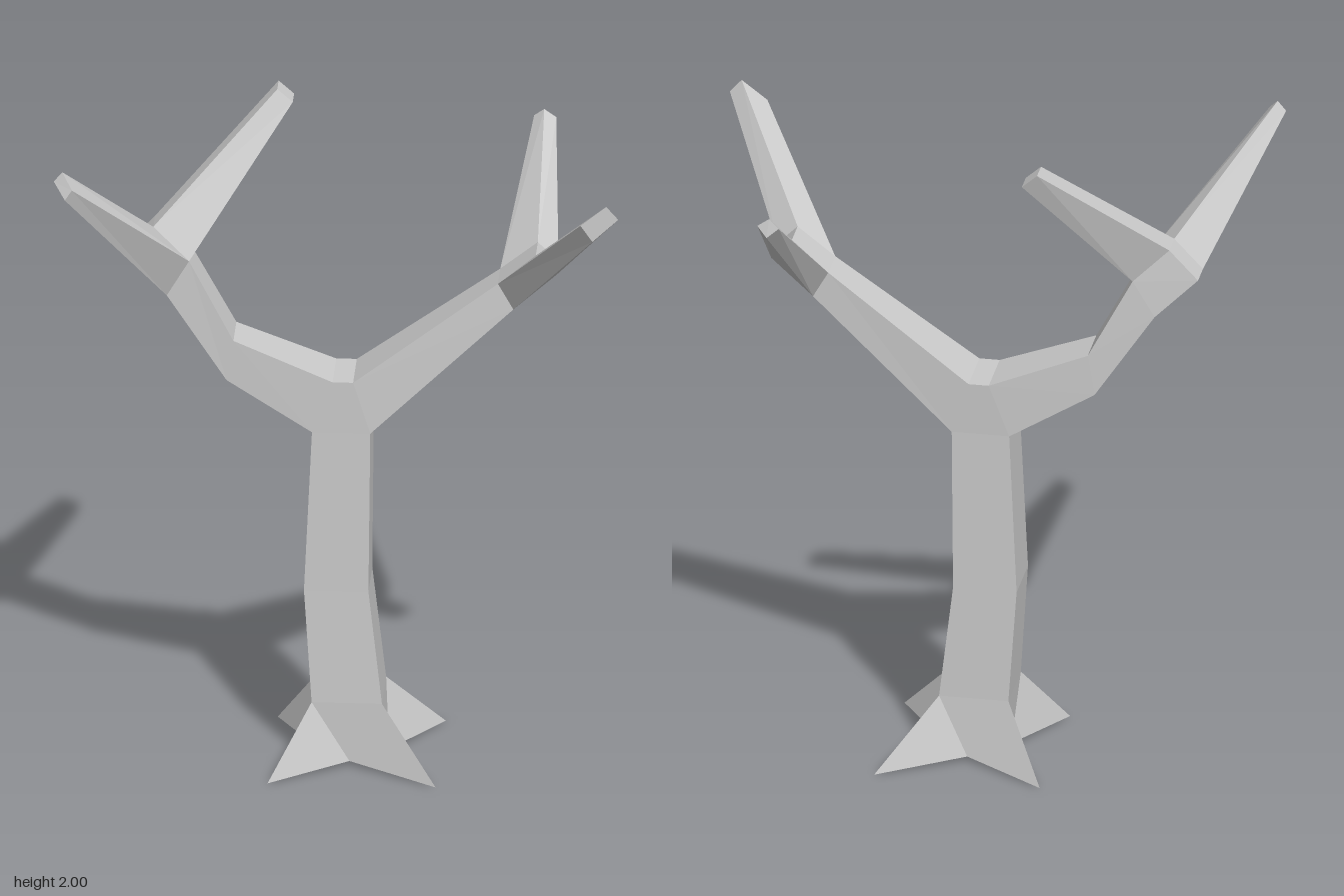
import * as THREE from 'three';

const material = new THREE.MeshStandardMaterial({ color: 0xcccccc, flatShading: true });

// Mesh from a list of polygons, each a counter-clockwise list of [x, y, z]
function faceted(name, polygons) {
  const pos = [];
  for (const p of polygons)
    for (let i = 1; i < p.length - 1; i++) pos.push(...p[0], ...p[i], ...p[i + 1]);
  const geo = new THREE.BufferGeometry();
  geo.setAttribute('position', new THREE.Float32BufferAttribute(pos, 3));
  geo.computeVertexNormals();
  const mesh = new THREE.Mesh(geo, material);
  mesh.name = name;
  return mesh;
}

// Skin four-cornered rings (counter-clockwise seen from the far end)
function loft(name, rings, { skip = [], cap = false } = {}) {
  const polygons = [];
  for (let s = 0; s < rings.length - 1; s++) {
    const a = rings[s], b = rings[s + 1];
    for (let i = 0; i < 4; i++) {
      if (skip.includes(i)) continue;
      const j = (i + 1) % 4;
      polygons.push([a[i], a[j], b[j], b[i]]);
    }
  }
  if (cap) polygons.push(rings[rings.length - 1]);
  return faceted(name, polygons);
}

// Horizontal trunk ring
const level = (y, x0, x1, zf, zb) => [[x0, y, zf], [x1, y, zf], [x1, y, zb], [x0, y, zb]];

// Limb section: top front, bottom front, bottom back, top back
const section = (top, bottom, zf, zb) => [[...top, zf], [...bottom, zf], [...bottom, zb], [...top, zb]];
const flip = (ring) => [...ring].reverse();

export function createModel() {
  const tree = new THREE.Group();
  tree.name = 'bareTree';

  // Trunk
  const foot = level(0.2, -0.09, 0.115, 0.12, -0.08);
  const neck = level(1.05, -0.09, 0.08, 0.105, -0.067);
  tree.add(loft('trunk', [foot, level(0.55, -0.113, 0.075, 0.11, -0.073), neck]));

  // Roots: a pointed toe at each corner with a valley between
  const toes = level(0, -0.21, 0.28, 0.26, -0.228);
  const valleys = [[0.02, 0.015, 0.117], [0.13, 0.015, 0.02], [0.03, 0.015, -0.09], [-0.08, 0.015, 0.02]];
  const centre = [0.03, 0.015, 0.02];
  const rootFaces = [];
  for (let i = 0; i < 4; i++) {
    const j = (i + 1) % 4, v = valleys[i];
    rootFaces.push([foot[i], v, foot[j]], [foot[i], toes[i], v], [foot[j], v, toes[j]]);
    rootFaces.push([centre, v, toes[i]], [centre, toes[j], v]);
  }
  tree.add(faceted('roots', rootFaces));

  // Fork: open on both sides where the limbs leave
  const crown = level(1.21, -0.03, 0.03, 0.105, -0.07);
  tree.add(loft('fork', [neck, crown], { skip: [1, 3], cap: true }));

  // Left limb (+x) and its knee, open to front and back
  const l0 = [crown[1], neck[1], neck[2], crown[2]];
  const l1 = section([0.45, 1.52], [0.495, 1.44], 0.07, -0.042);
  const l2 = section([0.56, 1.61], [0.62, 1.55], 0.063, -0.035);
  tree.add(loft('leftLimb', [l0, l1]));
  tree.add(loft('leftKnee', [l1, l2], { skip: [0, 2], cap: true }));

  // Left branches
  tree.add(loft('leftFrontBranch', [
    [l1[0], l1[1], l2[1], l2[0]],
    [[0.71, 1.85, 0.39], [0.745, 1.8, 0.39], [0.82, 1.87, 0.385], [0.785, 1.91, 0.385]],
  ], { cap: true }));
  tree.add(loft('leftBackBranch', [
    [l2[3], l2[2], l1[2], l1[3]],
    [[0.555, 1.865, -0.42], [0.59, 1.84, -0.42], [0.56, 1.81, -0.435], [0.525, 1.84, -0.43]],
  ], { cap: true }));

  // Right limb (-x) and its knee, open to front and top
  const r0 = flip([crown[0], neck[0], neck[3], crown[3]]);
  const r1 = flip(section([-0.32, 1.325], [-0.34, 1.2], 0.085, -0.055));
  const r2 = flip(section([-0.45, 1.57], [-0.515, 1.46], 0.075, -0.04));
  const r3 = flip(section([-0.555, 1.67], [-0.64, 1.58], 0.06, -0.02));
  tree.add(loft('rightLimb', [r0, r1, r2]));
  tree.add(loft('rightKnee', [r2, r3], { skip: [2, 3], cap: true }));

  // Right branches
  tree.add(loft('rightFrontBranch', [
    [r2[3], r3[3], r3[2], r2[2]],
    [[-0.77, 1.94, 0.43], [-0.8, 1.98, 0.39], [-0.825, 1.95, 0.39], [-0.79, 1.91, 0.435]],
  ], { cap: true }));
  tree.add(loft('rightBackBranch', [
    [r2[3], r2[0], r3[0], r3[3]],
    [[-0.165, 1.96, -0.207], [-0.165, 1.96, -0.27], [-0.21, 2, -0.27], [-0.21, 2, -0.207]],
  ], { cap: true }));

  return tree;
}
